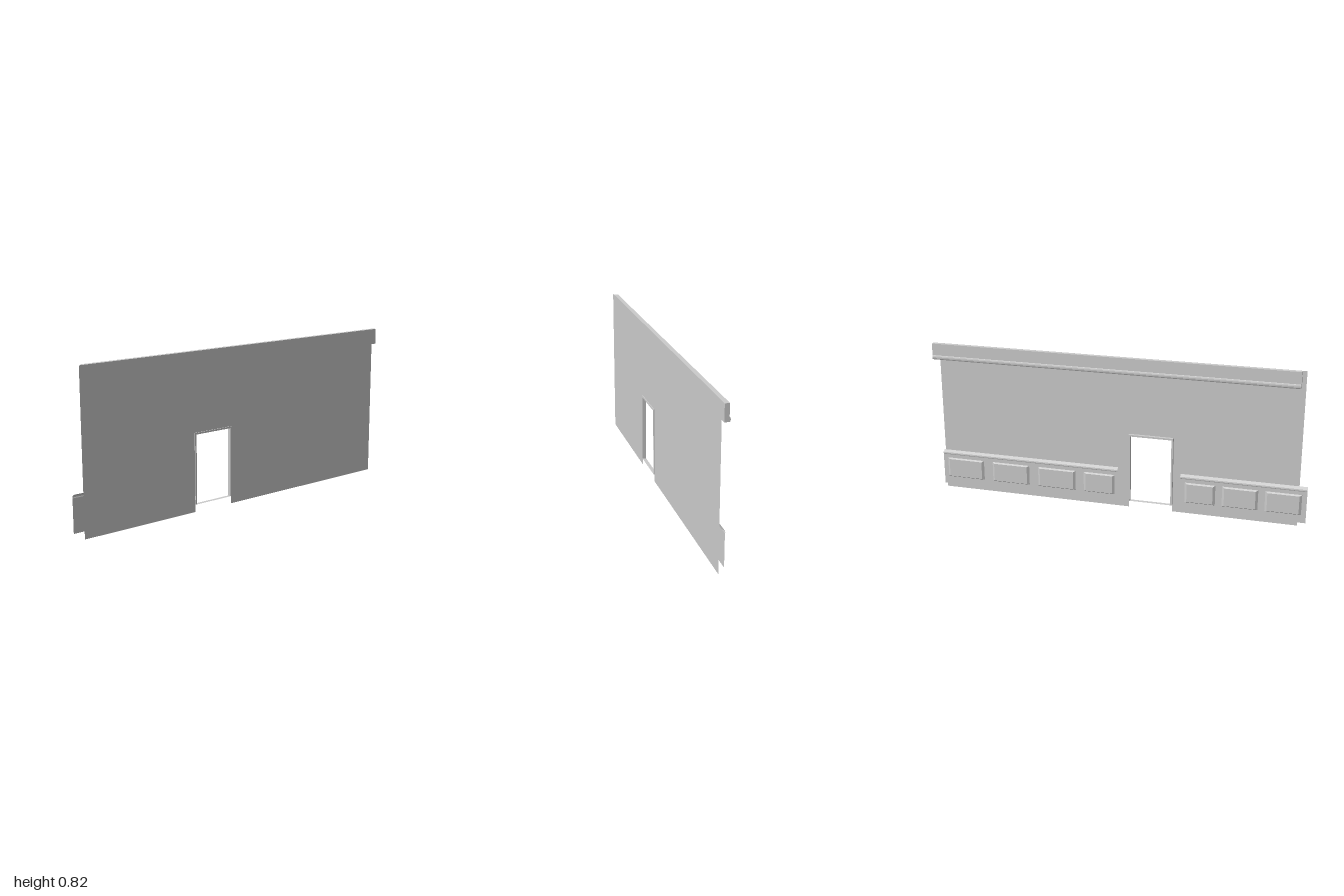
import * as THREE from 'three';

const grey = new THREE.MeshStandardMaterial({ color: 0xcccccc, flatShading: true, side: THREE.DoubleSide });

function addMesh(parent, name, geometry) {
  const mesh = new THREE.Mesh(geometry, grey);
  mesh.name = name;
  parent.add(mesh);
  return mesh;
}

const polygon = (points) => new THREE.Shape(points.map(([x, y]) => new THREE.Vector2(x, y)));

// Sheet swept along x from a (z, y) profile
function sweptSheet(profile, x0, x1) {
  const position = [], index = [];
  profile.forEach(([z, y], i) => {
    position.push(x0, y, z, x1, y, z);
    if (i > 0) {
      const a = 2 * (i - 1);
      index.push(a, a + 2, a + 1, a + 1, a + 2, a + 3);
    }
  });
  const g = new THREE.BufferGeometry();
  g.setAttribute('position', new THREE.Float32BufferAttribute(position, 3));
  g.setIndex(index);
  g.computeVertexNormals();
  return g;
}

// Raised panel: a thin box whose back face is drawn in to form bevels
function raisedPanel(width, height, depth, insetX, insetY) {
  const g = new THREE.BoxGeometry(width, height, depth);
  const p = g.attributes.position;
  for (let i = 0; i < p.count; i++) {
    if (p.getZ(i) < 0) {
      p.setX(i, p.getX(i) - Math.sign(p.getX(i)) * insetX);
      p.setY(i, p.getY(i) - Math.sign(p.getY(i)) * insetY);
    }
  }
  g.computeVertexNormals();
  return g;
}

export function createModel() {
  const model = new THREE.Group();
  model.name = 'panelledWall';

  // Thin wall sheet with a doorway notch
  const doorL = -0.305, doorR = -0.072, doorTop = 0.41;
  const wall = polygon([
    [-0.957, 0], [doorL, 0], [doorL, doorTop], [doorR, doorTop],
    [doorR, 0], [0.968, 0], [0.968, 0.822], [-0.957, 0.822],
  ]);
  addMesh(model, 'wall', new THREE.ShapeGeometry(wall)).position.z = 0.0155;

  // Door frame: jambs and head, with a thin sill
  const frame = new THREE.Group();
  frame.name = 'doorFrame';
  const t = 0.009, sillY = 0.04;
  const jambs = polygon([
    [doorL - 0.002, sillY], [doorL - 0.002 + t, sillY], [doorL - 0.002 + t, 0.412 - t],
    [doorR + 0.001 - t, 0.412 - t], [doorR + 0.001 - t, sillY], [doorR + 0.001, sillY],
    [doorR + 0.001, 0.412], [doorL - 0.002, 0.412],
  ]);
  addMesh(frame, 'jambsAndHead', new THREE.ExtrudeGeometry(jambs, { depth: 0.02, bevelEnabled: false }));
  const sill = addMesh(frame, 'sill', new THREE.PlaneGeometry(doorR - doorL, 0.02).rotateX(-Math.PI / 2));
  sill.position.set((doorL + doorR) / 2, sillY, 0.01);
  model.add(frame);

  // Crown beam with a rounded bead along its lower back edge
  const crown = polygon([
    [-0.015, 0.737], [0.010, 0.737], [0.0125, 0.742], [0.0132, 0.75],
    [0.0115, 0.757], [0.0078, 0.759], [0.0078, 0.822], [-0.015, 0.822],
  ]);
  const crownGeometry = new THREE.ExtrudeGeometry(crown, { depth: 1.935, bevelEnabled: false });
  crownGeometry.rotateY(Math.PI / 2).translate(-0.935, 0, 0);
  addMesh(model, 'crownBeam', crownGeometry);

  // Wainscot sections on the back, each with a sloped ledge and raised panels
  const profile = [[-0.0105, 0.03], [-0.0105, 0.202], [-0.012, 0.206], [-0.011, 0.213], [0.004, 0.223]];
  const sections = [
    { x0: -1, x1: -0.35, panels: [[-0.975, -0.79], [-0.755, -0.57], [-0.535, -0.375]] },
    { x0: -0.015, x1: 0.97, panels: [[0, 0.17], [0.215, 0.425], [0.475, 0.685], [0.735, 0.945]] },
  ];
  for (const { x0, x1, panels } of sections) {
    const section = new THREE.Group();
    section.name = 'wainscot';
    addMesh(section, 'wainscotSheet', sweptSheet(profile, x0, x1));
    for (const [a, b] of panels) {
      const panel = addMesh(section, 'raisedPanel', raisedPanel(b - a, 0.11, 0.009, 0.012, 0.006));
      panel.position.set((a + b) / 2, 0.128, -0.0152);
    }
    model.add(section);
  }

  return model;
}
